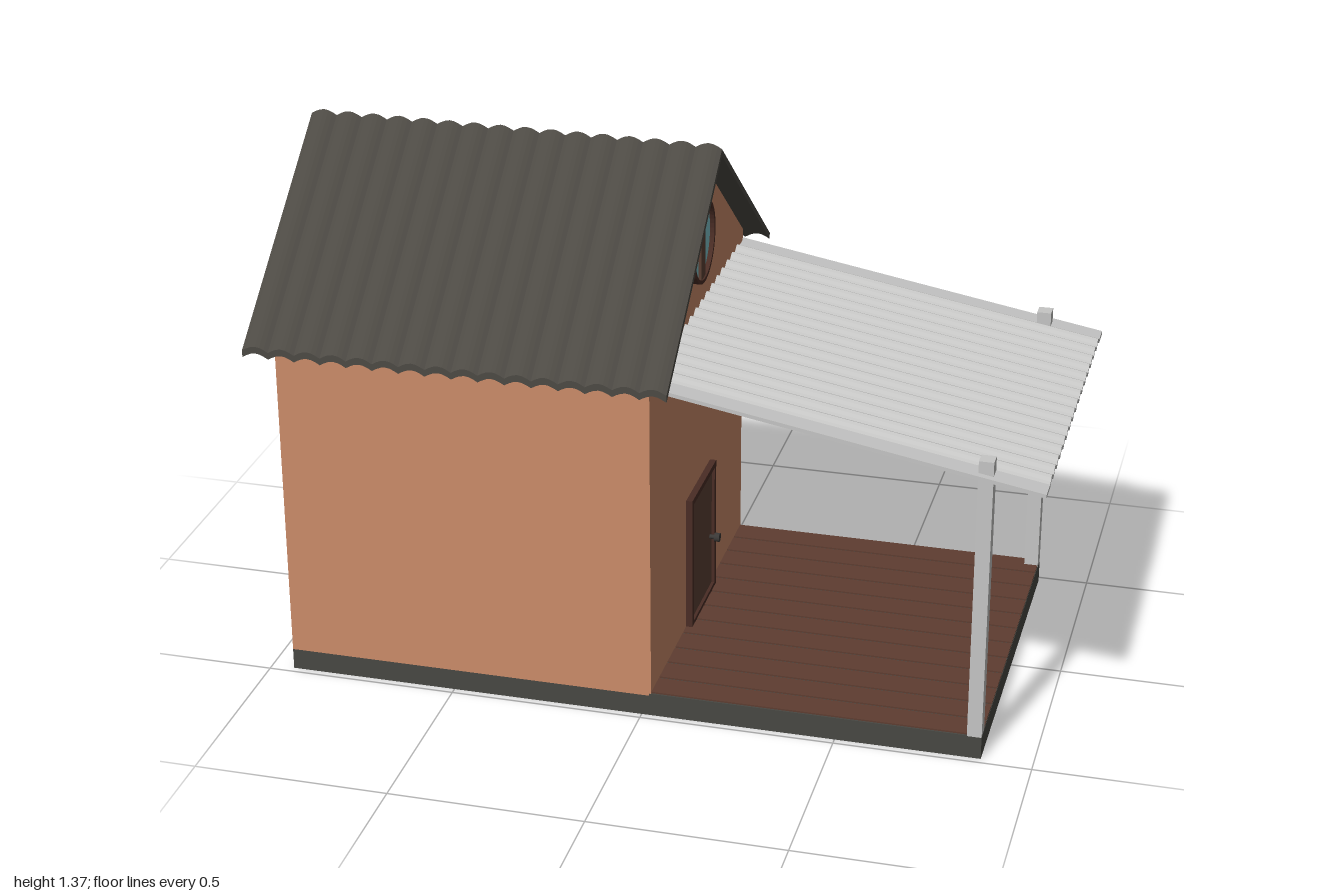
import * as THREE from 'three';

const mat = (name, color) => {
  const m = new THREE.MeshStandardMaterial({ color });
  m.name = name;
  return m;
};

export function createModel() {
  const house = new THREE.Group();
  house.name = 'houseWithPorch';

  const wallMat = mat('terracotta wall', 0xcc8c69);
  const roofMat = mat('dark roof', 0x4d4a44);
  const baseMat = mat('dark base', 0x484843);
  const sheetMat = mat('light grey', 0xc6c6c5);
  const doorMat = mat('brown wood', 0x5c4034);
  const frameMat = mat('dark brown frame', 0x4a2d25);
  const plankMat = mat('deck wood', 0x5e3d31);
  const glassMat = mat('blue glass', 0x80c4cc);
  const knobMat = mat('knob metal', 0x3a3836);

  const add = (name, geo, material, parent = house) => {
    const m = new THREE.Mesh(geo, material);
    m.name = name;
    parent.add(m);
    return m;
  };
  // Box given by its minimum and maximum corners
  const box = (name, [x0, y0, z0], [x1, y1, z1], material, parent) => {
    const m = add(name, new THREE.BoxGeometry(x1 - x0, y1 - y0, z1 - z0), material, parent);
    m.position.set((x0 + x1) / 2, (y0 + y1) / 2, (z0 + z1) / 2);
    return m;
  };
  const extrude = (shape, depth, curveSegments = 12) =>
    new THREE.ExtrudeGeometry(shape, { depth, bevelEnabled: false, curveSegments });
  // Rectangular frame centred on the origin, extruded along +z
  const frameGeo = (w, h, border, depth) => {
    const rect = (P, a, b) => new P([
      new THREE.Vector2(-a, -b), new THREE.Vector2(a, -b),
      new THREE.Vector2(a, b), new THREE.Vector2(-a, b)]);
    const s = rect(THREE.Shape, w / 2, h / 2);
    s.holes.push(rect(THREE.Path, w / 2 - border, h / 2 - border));
    return extrude(s, depth);
  };
  // Corrugated sheet: a wavy strip extruded along +z, falling by `slope`
  const sheetGeo = (width, flat, waves, steps, height, thick, length, slope) => {
    const top = [];
    const inner = width - 2 * flat;
    if (flat) top.push([-width / 2, 0]);
    for (let i = 0; i <= waves * steps; i++) {
      top.push([-inner / 2 + inner * i / (waves * steps), height(i / steps)]);
    }
    if (flat) top.push([width / 2, 0]);
    const s = new THREE.Shape([
      ...top.map(([x, y]) => new THREE.Vector2(x, y - thick)),
      ...top.reverse().map(([x, y]) => new THREE.Vector2(x, y))]);
    const shear = new THREE.Matrix4().set(1, 0, 0, 0, 0, 1, -slope, 0, 0, 0, 1, 0, 0, 0, 0, 1);
    return extrude(s, length).applyMatrix4(shear);
  };

  // Foundation and porch slab
  box('foundation', [-0.94, 0, -0.482], [0.87, 0.056, 0.482], baseMat);
  box('porchSlab', [0.02, 0.05, -0.482], [0.87, 0.062, 0.482], baseMat);

  // Deck planks with narrow gaps
  const deck = new THREE.Group();
  deck.name = 'deckPlanks';
  house.add(deck);
  const planks = 12, pitch = 0.964 / planks;
  for (let i = 0; i < planks; i++) {
    const z = -0.482 + pitch * i;
    box('plank', [0.025, 0.06, z + 0.004], [0.869, 0.066, z + pitch - 0.004], plankMat, deck);
  }

  // House body with gables
  const gable = new THREE.Shape([
    [-0.482, 0.056], [0.482, 0.056], [0.482, 0.957], [0, 1.34], [-0.482, 0.957],
  ].map(([x, y]) => new THREE.Vector2(x, y)));
  add('walls', extrude(gable, 0.965).rotateY(Math.PI / 2), wallMat).position.x = -0.94;

  // Main roof, two mirrored scalloped slopes
  const scallop = t => 0.013 * Math.abs(Math.sin(Math.PI * t));
  for (const turn of [0, Math.PI]) {
    const slope = add(turn ? 'backRoofSlope' : 'frontRoofSlope',
      sheetGeo(1.085, 0, 16, 6, scallop, 0.018, 0.545, 0.795), roofMat);
    slope.position.set(-0.4575, 1.36, 0);
    slope.rotation.y = turn;
  }

  // Porch roof
  const ripple = t => 0.0065 * (1 - Math.cos(2 * Math.PI * t));
  const porchRoof = add('porchRoof',
    sheetGeo(1, 0.056, 16, 6, ripple, 0.01, 0.98, 0.173), sheetMat);
  porchRoof.rotation.y = Math.PI / 2;
  porchRoof.position.set(0.02, 0.925, 0);

  // Porch posts
  for (const s of [-1, 1]) {
    const post = box('porchPost', [0.833, 0.06, -0.019], [0.87, 0.815, 0.019], sheetMat);
    post.position.z = s * 0.463;
  }

  // Door
  const door = new THREE.Group();
  door.name = 'door';
  house.add(door);
  const doorFrame = add('doorFrame', frameGeo(0.254, 0.375, 0.016, 0.02), frameMat, door);
  doorFrame.rotation.y = Math.PI / 2;
  doorFrame.position.set(0.022, 0.248, 0);
  box('doorLeaf', [0.02, 0.066, -0.112], [0.034, 0.421, 0.112], doorMat, door);
  const stem = add('knobStem', new THREE.CylinderGeometry(0.006, 0.006, 0.02, 12), knobMat, door);
  stem.rotation.z = Math.PI / 2;
  stem.position.set(0.042, 0.225, -0.09);
  const knob = add('knob', new THREE.CylinderGeometry(0.012, 0.012, 0.014, 16), knobMat, door);
  knob.rotation.z = Math.PI / 2;
  knob.position.set(0.055, 0.225, -0.09);

  // Round gable window
  const round = new THREE.Group();
  round.name = 'roundWindow';
  round.position.set(0.022, 1.108, 0);
  round.rotation.y = Math.PI / 2;
  house.add(round);
  const ring = new THREE.Shape().absarc(0, 0, 0.109, 0, Math.PI * 2);
  ring.holes.push(new THREE.Path().absarc(0, 0, 0.099, 0, Math.PI * 2));
  add('roundFrame', extrude(ring, 0.02, 24), frameMat, round);
  add('roundGlass', new THREE.CircleGeometry(0.1, 48), glassMat, round).position.z = 0.008;
  box('roundMullion', [-0.021, -0.1, 0.004], [0.021, 0.1, 0.016], doorMat, round);

  // Back wall window
  const win = new THREE.Group();
  win.name = 'backWindow';
  win.position.set(-0.5, 0.452, -0.501);
  win.rotation.y = Math.PI;
  house.add(win);
  add('windowFrame', frameGeo(0.306, 0.3, 0.022, 0.008), frameMat, win);
  box('windowMullion', [-0.014, -0.13, 0.001], [0.014, 0.13, 0.007], frameMat, win);
  for (const s of [-1, 1]) {
    box('windowPane', [-0.0595, -0.13, 0.001], [0.0595, 0.13, 0.004], glassMat, win).position.x = s * 0.0725;
  }

  return house;
}
